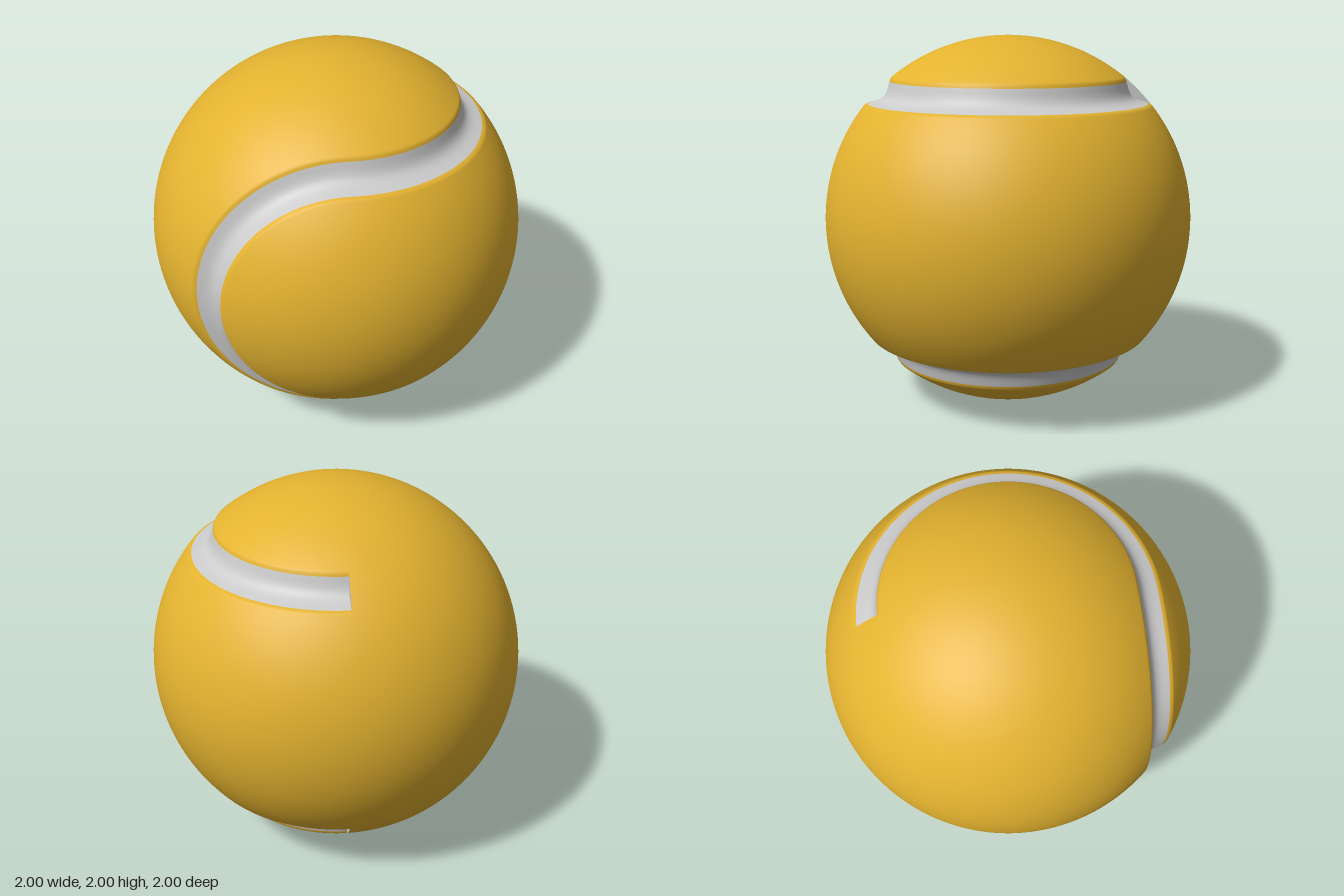
import * as THREE from 'three';

const DEG = Math.PI / 180;
const SEAM = 45;        // latitude of the seam, degrees
const SEAM_HALF = 4.8;  // half width of the grey band
const LIP_HALF = 6;     // half width of the dip, including its rounded lips
const DEPTH = 0.047;

const felt = new THREE.MeshStandardMaterial({ color: 0xe3b22f });
const rubber = new THREE.MeshStandardMaterial({ color: 0xcccccc });

// Ball radius at a latitude, dipping smoothly at each seam
function radiusAt(lat, seams) {
  let r = 1;
  for (const s of seams) {
    const t = (lat - s) / LIP_HALF;
    if (Math.abs(t) < 1) r -= DEPTH * Math.pow(1 - t * t, 1.5);
  }
  return r;
}

// Profile points from one latitude to another, finer around the seams
function profile(from, to, seams) {
  const points = [];
  const add = (lat) => {
    const r = radiusAt(lat, seams);
    points.push(new THREE.Vector2(Math.max(0, r * Math.cos(lat * DEG)), r * Math.sin(lat * DEG)));
  };
  let lat = from;
  while (lat < to - 1e-6) {
    add(lat);
    const near = seams.some((s) => Math.abs(lat - s) < LIP_HALF + 2);
    lat += near ? 0.4 : 1.5;
  }
  add(to);
  return points;
}

// Half a ball, turned about y, split into felt and seam bands
function halfBall(name, phiStart, seams) {
  const half = new THREE.Group();
  half.name = name;
  const band = (label, from, to, material) => {
    const geometry = new THREE.LatheGeometry(profile(from, to, seams), 72, phiStart, Math.PI);
    const mesh = new THREE.Mesh(geometry, material);
    mesh.name = label;
    half.add(mesh);
  };
  let lat = -90;
  for (const s of seams) {
    band('felt', lat, s - SEAM_HALF, felt);
    band('seamGroove', s - SEAM_HALF, s + SEAM_HALF, rubber);
    lat = s + SEAM_HALF;
  }
  band('felt', lat, 90, felt);
  return half;
}

// Small wall closing the groove where it stops at the plane x = 0
function seamEnd(side) {
  const shape = new THREE.Shape();
  const steps = 24;
  const put = (lat, r, first) => {
    const x = r * Math.cos(lat * DEG);
    const y = side * r * Math.sin(lat * DEG);
    if (first) shape.moveTo(x, y);
    else shape.lineTo(x, y);
  };
  for (let i = 0; i <= steps; i++) {
    const lat = SEAM - LIP_HALF + (2 * LIP_HALF * i) / steps;
    put(lat, radiusAt(lat, [SEAM]), i === 0);
  }
  for (let i = steps - 1; i > 0; i--) put(SEAM - LIP_HALF + (2 * LIP_HALF * i) / steps, 1);
  const geometry = new THREE.ShapeGeometry(shape);
  geometry.rotateY(Math.PI / 2); // shape x runs towards -z, facing +x
  const mesh = new THREE.Mesh(geometry, rubber);
  mesh.name = 'seamEnd';
  return mesh;
}

export function createModel() {
  const ball = new THREE.Group();
  ball.name = 'ball';

  // +x half: seams circle the y axis above and below
  const leftHalf = halfBall('leftHalf', 0, [-SEAM, SEAM]);

  // -x half: one seam circles the z axis at the front, the back is plain
  const rightHalf = halfBall('rightHalf', Math.PI, [SEAM]);
  rightHalf.rotation.x = Math.PI / 2;

  ball.add(leftHalf, rightHalf, seamEnd(1), seamEnd(-1));
  ball.position.y = 1;

  const model = new THREE.Group();
  model.name = 'seamedBall';
  model.add(ball);
  return model;
}
